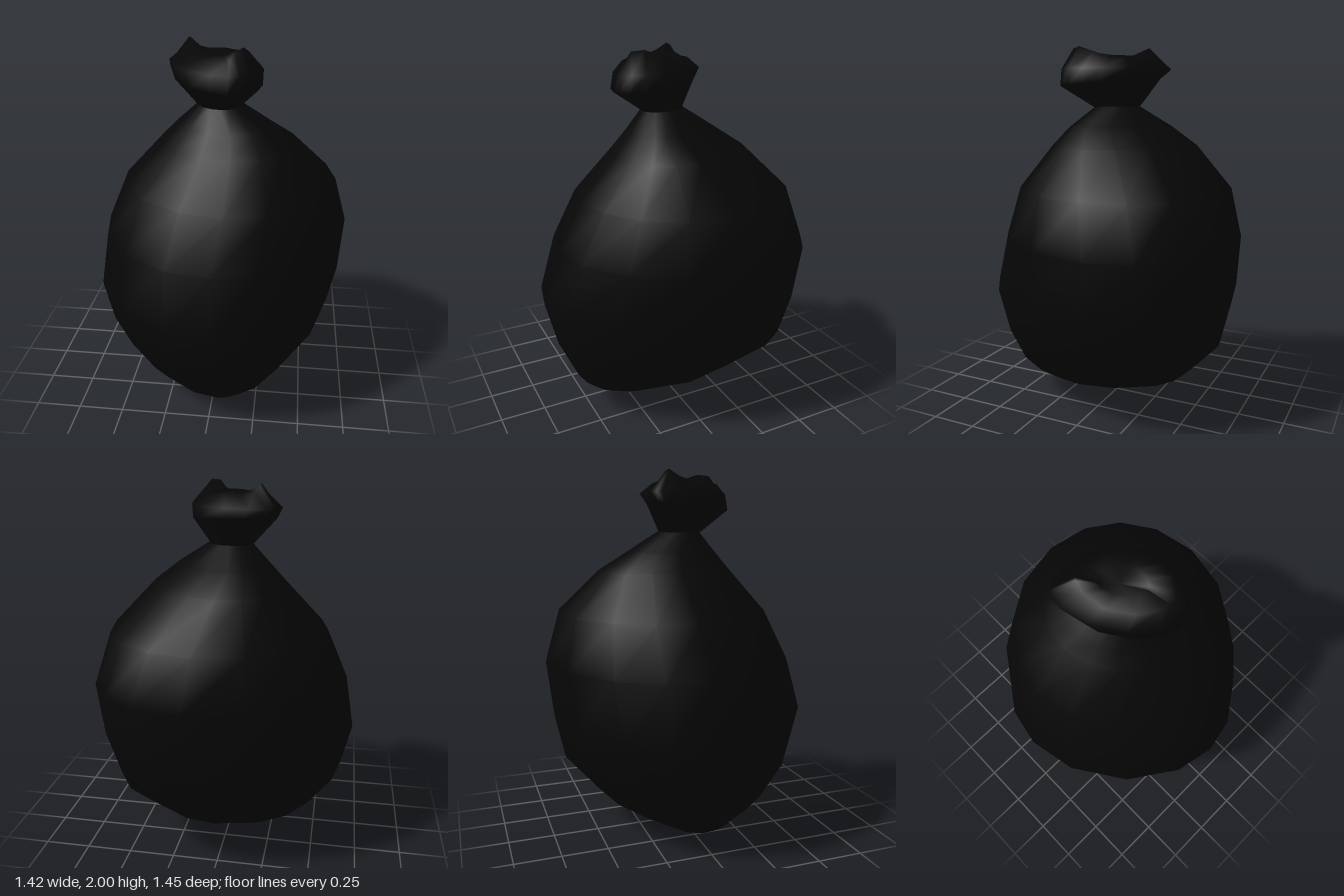
import * as THREE from 'three';
import { mergeVertices } from 'three/addons/utils/BufferGeometryUtils.js';

const SIDES = 16;
const DEG = Math.PI / 180;

// Each ring: height, then its reach in 8 directions, from +x turning towards +z.
const BODY = [
  [0.00, -0.11, 0.01, 0.13, 0.17, 0.11, -0.01, -0.13, -0.17],
  [0.05, 0.11, 0.26, 0.34, 0.33, 0.36, 0.26, 0.15, 0.10],
  [0.12, 0.27, 0.41, 0.49, 0.40, 0.44, 0.36, 0.29, 0.26],
  [0.21, 0.42, 0.51, 0.58, 0.46, 0.53, 0.45, 0.47, 0.46],
  [0.42, 0.62, 0.60, 0.68, 0.58, 0.67, 0.61, 0.66, 0.70],
  [0.67, 0.68, 0.68, 0.72, 0.66, 0.70, 0.71, 0.69, 0.79],
  [0.97, 0.70, 0.65, 0.61, 0.61, 0.64, 0.69, 0.72, 0.83],
  [1.24, 0.63, 0.58, 0.49, 0.48, 0.53, 0.61, 0.66, 0.72],
  [1.47, 0.41, 0.41, 0.28, 0.29, 0.30, 0.43, 0.44, 0.46],
  [1.57, 0.29, 0.30, 0.20, 0.20, 0.21, 0.30, 0.30, 0.29],
  [1.68, 0.13, 0.12, 0.11, 0.10, 0.11, 0.12, 0.13, 0.12],
];
const TOP = [
  [1.67, 0.12, 0.12, 0.11, 0.10, 0.11, 0.12, 0.12, 0.11],
  [1.81, 0.24, 0.29, 0.31, 0.22, 0.25, 0.27, 0.20, 0.18],
  [1.88, 0.24, 0.29, 0.29, 0.22, 0.28, 0.33, 0.25, 0.20],
  [1.955, 0.16, 0.22, 0.24, 0.16, 0.18, 0.21, 0.16, 0.14],
  [1.95, 0.08, 0.11, 0.12, 0.08, 0.10, 0.11, 0.08, 0.07],
  [1.94, -0.03, -0.02, 0.00, 0.02, 0.03, 0.02, 0.00, -0.02],
];

// Smooth closed outline that follows the eight given distances;
// the finest wave is softened so that corners stay round
function outline(reach) {
  const strength = [1 / 8, 1 / 4, 1 / 4, 0.6 / 4];
  const wave = (fn) => strength.map((w, k) =>
    w * reach.reduce((sum, r, i) => sum + r * fn(k * i * 45 * DEG), 0));
  const c = wave(Math.cos), s = wave(Math.sin);
  return (a) => {
    let h = 0, slope = 0;
    for (let k = 0; k < strength.length; k++) {
      h += c[k] * Math.cos(k * a) + s[k] * Math.sin(k * a);
      slope += k * (s[k] * Math.cos(k * a) - c[k] * Math.sin(k * a));
    }
    return [h * Math.cos(a) - slope * Math.sin(a), h * Math.sin(a) + slope * Math.cos(a)];
  };
}

// Skin stacked rings; lift(a, row) raises or lowers points around a ring
function skin(rows, lift = () => 0) {
  const pos = [], index = [];
  rows.forEach(([y, ...reach], row) => {
    const at = outline(reach);
    for (let i = 0; i < SIDES; i++) {
      const a = (i / SIDES) * Math.PI * 2;
      const [x, z] = at(a);
      pos.push(x, y + lift(a, row), z);
      if (row === 0) continue;
      const n = (i + 1) % SIDES, lo = (row - 1) * SIDES, hi = row * SIDES;
      index.push(lo + i, hi + i, lo + n, lo + n, hi + i, hi + n);
    }
  });
  let geo = new THREE.BufferGeometry();
  geo.setAttribute('position', new THREE.Float32BufferAttribute(pos, 3));
  geo.setIndex(index);
  geo = mergeVertices(geo, 1e-3);
  geo.computeVertexNormals();
  return geo;
}

export function createModel() {
  const group = new THREE.Group();
  group.name = 'tiedSack';
  const material = new THREE.MeshStandardMaterial({ color: 0x060606, side: THREE.DoubleSide });

  const add = (name, geometry) => {
    const mesh = new THREE.Mesh(geometry, material);
    mesh.name = name;
    group.add(mesh);
  };

  // Full, leaning body narrowing to the neck
  add('bagBody', skin(BODY));

  // Gathered end above the neck, drooping on one side, with a ruffled rim
  add('gatheredTop', skin(TOP, (a, row) => {
    const t = a - 210 * DEG;
    if (row === 3) return 0.03 * Math.cos(2 * t) + 0.015 * Math.cos(4 * t);
    if (row === 1) return -0.02 * Math.cos(a - 60 * DEG);
    return 0;
  }));

  return group;
}
